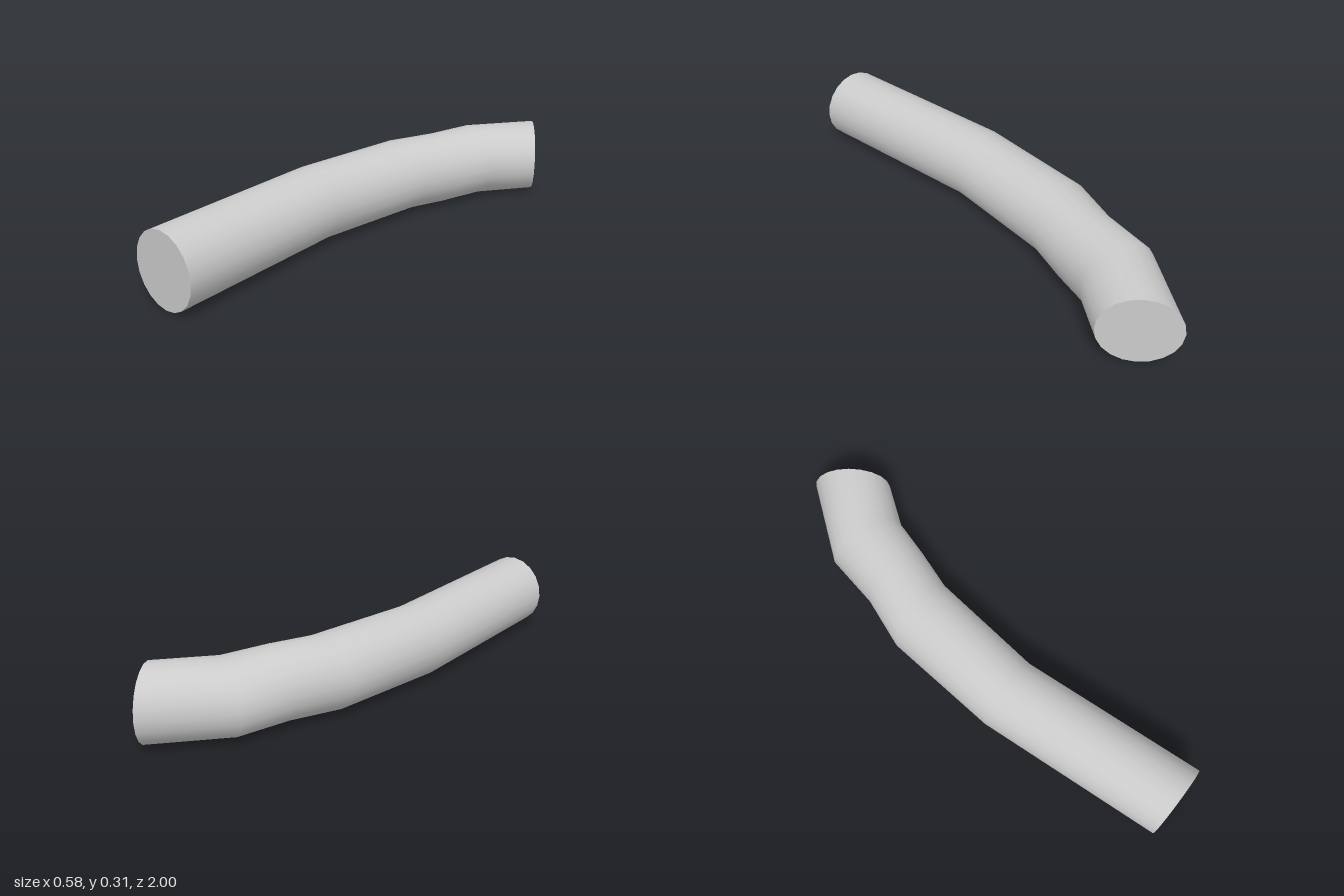
import * as THREE from 'three';

const SIDES = 20;
const RADIUS = 0.1525;

// Mitred rings from front to back: [left x, left z, right x, right z] seen from above
const RINGS = [
  [-0.23, 1.0, 0.07, 1.0],
  [-0.29, 0.225, 0.01, 0.225],
  [-0.255, -0.26, 0.063, -0.254],
  [-0.176, -0.47, 0.12, -0.42],
  [-0.133, -0.7, 0.17, -0.587],
  [0.088, -1.0, 0.286, -0.75],
];

// Points of one elliptical ring, counter-clockwise seen from the front
function ringPoints([lx, lz, rx, rz]) {
  const points = [];
  for (let j = 0; j < SIDES; j++) {
    const a = (j / SIDES) * Math.PI * 2;
    const t = (1 + Math.cos(a)) / 2;
    points.push(new THREE.Vector3(
      lx + (rx - lx) * t,
      RADIUS + RADIUS * Math.sin(a),
      lz + (rz - lz) * t,
    ));
  }
  return points;
}

function makeMesh(name, points, index, material) {
  const geometry = new THREE.BufferGeometry().setFromPoints(points);
  geometry.setIndex(index);
  geometry.computeVertexNormals();
  const mesh = new THREE.Mesh(geometry, material);
  mesh.name = name;
  return mesh;
}

// Flat disc closing one end
function makeCap(name, ring, facesBack, material) {
  const index = [];
  for (let j = 1; j < SIDES - 1; j++) {
    index.push(0, ...(facesBack ? [j + 1, j] : [j, j + 1]));
  }
  return makeMesh(name, ringPoints(ring), index, material);
}

export function createModel() {
  const group = new THREE.Group();
  group.name = 'bentPipe';
  const material = new THREE.MeshStandardMaterial({ color: 0xcccccc });

  // Smooth wall joining neighbouring rings
  const index = [];
  for (let i = 0; i < RINGS.length - 1; i++) {
    for (let j = 0; j < SIDES; j++) {
      const a = i * SIDES + j;
      const b = i * SIDES + ((j + 1) % SIDES);
      index.push(a, a + SIDES, b, b, a + SIDES, b + SIDES);
    }
  }
  group.add(makeMesh('pipeWall', RINGS.flatMap(ringPoints), index, material));

  // End caps
  group.add(makeCap('frontCap', RINGS[0], false, material));
  group.add(makeCap('backCap', RINGS[RINGS.length - 1], true, material));
  return group;
}
